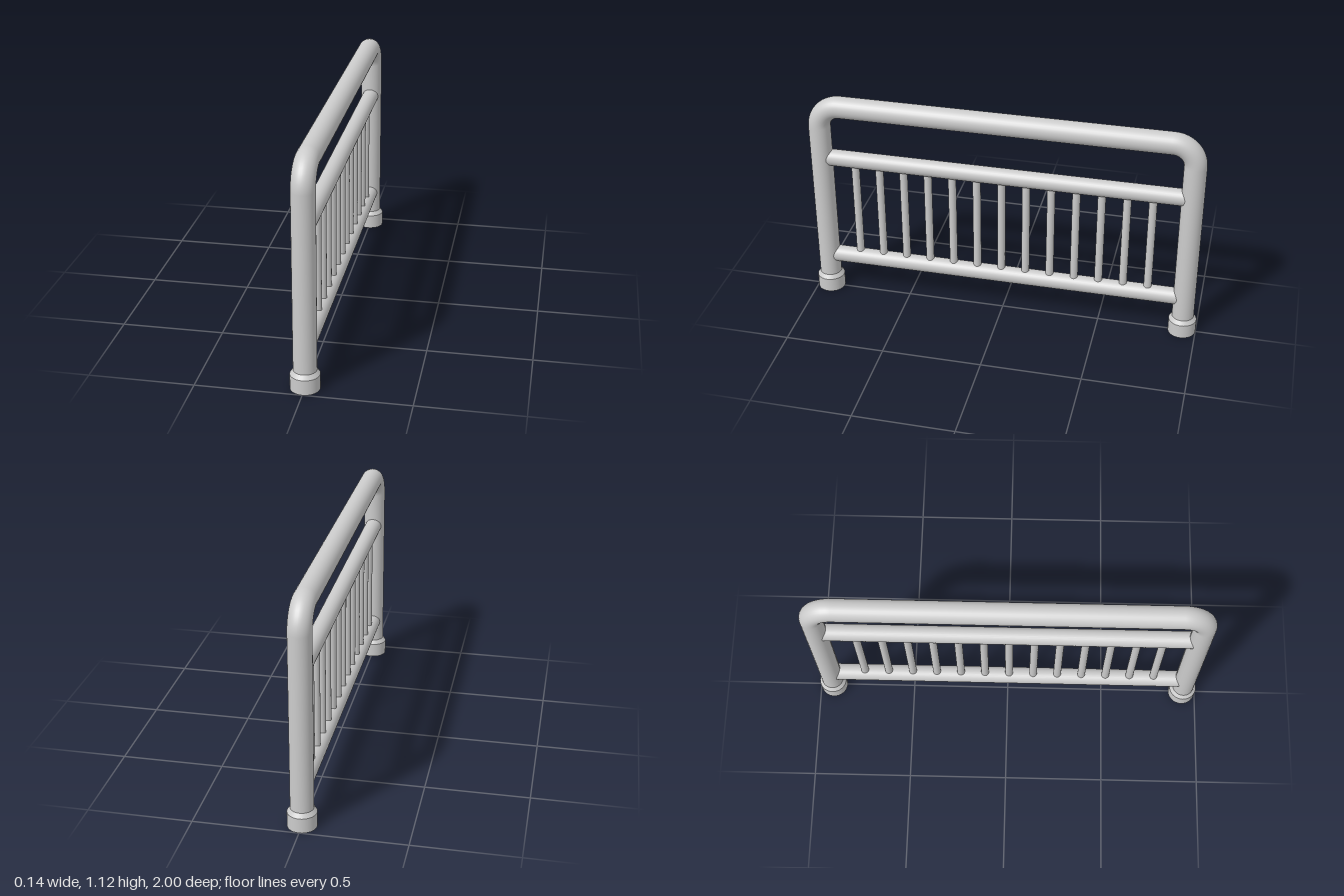
import * as THREE from 'three';

const POST_Z = 0.93, TOP_Y = 1.07, POST_R = 0.055, BEND = 0.11;
const RAIL_R = 0.0425, RAIL_LOW = 0.205, RAIL_HIGH = 0.782;

export function createModel() {
  const group = new THREE.Group();
  const material = new THREE.MeshStandardMaterial({ color: 0xcccccc });
  const add = (name, geometry, x = 0, y = 0, z = 0) => {
    const mesh = new THREE.Mesh(geometry, material);
    mesh.name = name;
    mesh.position.set(x, y, z);
    group.add(mesh);
    return mesh;
  };

  // Hoop: two posts and the handrail as one bent pipe
  const v = (y, z) => new THREE.Vector3(0, y, z);
  const k = BEND * 0.5523; // cubic handle length for a quarter circle
  const path = new THREE.CurvePath();
  path.add(new THREE.LineCurve3(v(0.03, POST_Z), v(TOP_Y - BEND, POST_Z)));
  path.add(new THREE.CubicBezierCurve3(
    v(TOP_Y - BEND, POST_Z), v(TOP_Y - BEND + k, POST_Z),
    v(TOP_Y, POST_Z - BEND + k), v(TOP_Y, POST_Z - BEND)));
  path.add(new THREE.LineCurve3(v(TOP_Y, POST_Z - BEND), v(TOP_Y, BEND - POST_Z)));
  path.add(new THREE.CubicBezierCurve3(
    v(TOP_Y, BEND - POST_Z), v(TOP_Y, BEND - POST_Z - k),
    v(TOP_Y - BEND + k, -POST_Z), v(TOP_Y - BEND, -POST_Z)));
  path.add(new THREE.LineCurve3(v(TOP_Y - BEND, -POST_Z), v(0.03, -POST_Z)));
  add('hoopPipe', new THREE.TubeGeometry(path, 240, POST_R, 32, false));

  // Foot sockets: straight collar with a chamfered shoulder
  for (const [side, z] of [['front', POST_Z], ['back', -POST_Z]]) {
    add(side + 'FootCollar', new THREE.CylinderGeometry(0.07, 0.07, 0.074, 32), 0, 0.037, z);
    add(side + 'FootShoulder', new THREE.CylinderGeometry(POST_R, 0.07, 0.021, 32, 1, true), 0, 0.0845, z);
  }

  // Horizontal rails running into the posts
  const railGeometry = new THREE.CylinderGeometry(RAIL_R, RAIL_R, 2 * POST_Z, 32).rotateX(Math.PI / 2);
  add('lowerRail', railGeometry, 0, RAIL_LOW, 0);
  add('upperRail', railGeometry, 0, RAIL_HIGH, 0);

  // Balusters between the rails
  const barGeometry = new THREE.CylinderGeometry(0.02, 0.02, RAIL_HIGH - RAIL_LOW, 20);
  for (let i = 0; i < 13; i++) {
    add('baluster' + (i + 1), barGeometry, 0, (RAIL_LOW + RAIL_HIGH) / 2, 0.007 + (i - 6) * 0.125);
  }
  return group;
}
